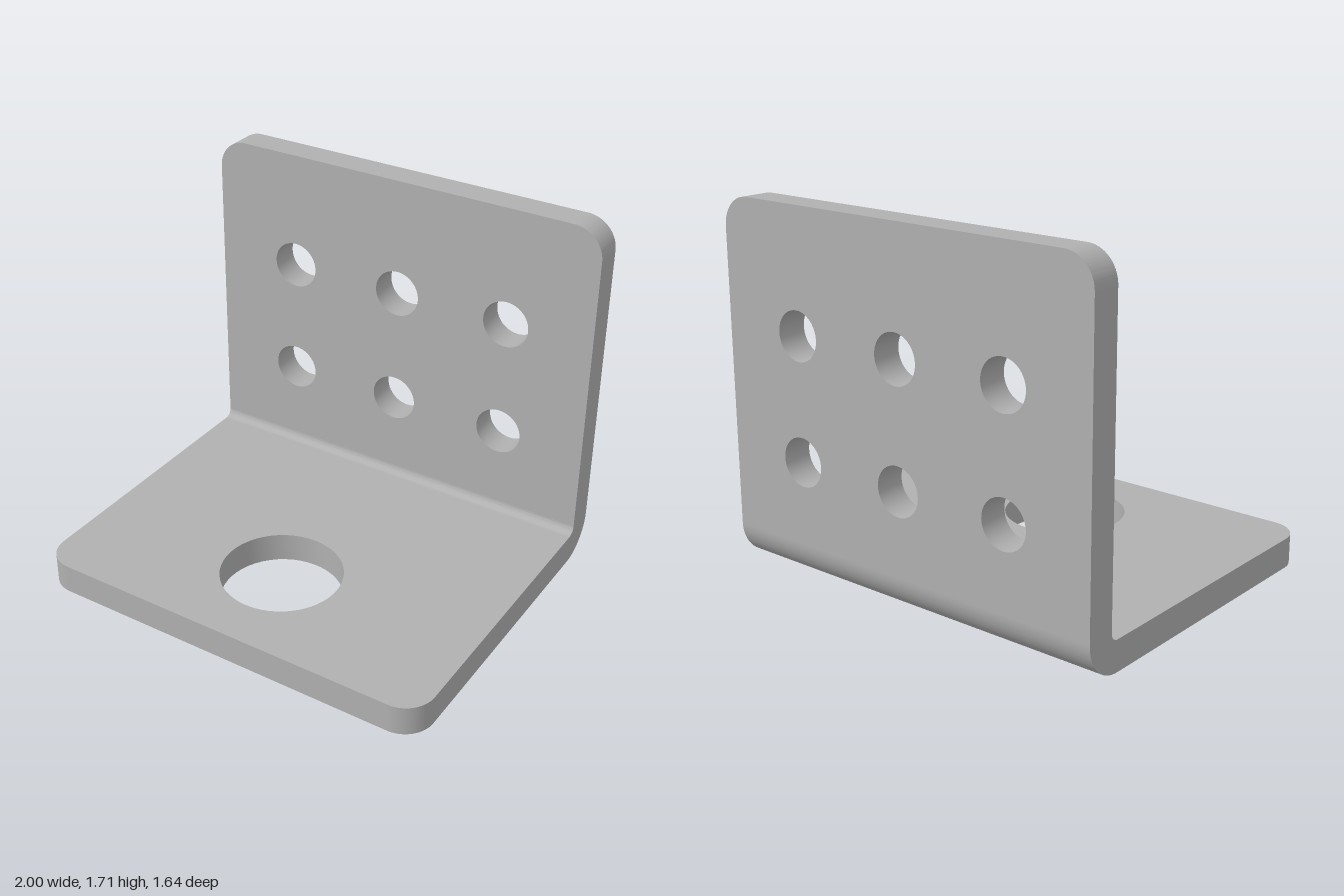
import * as THREE from 'three';
import { toCreasedNormals } from 'three/addons/utils/BufferGeometryUtils.js';

const WIDTH = 2, HEIGHT = 1.714, DEPTH = 1.643, THICK = 0.143;
const CORNER = 0.143, BEND_IN = 0.04, BEND_OUT = BEND_IN + THICK;
const BACK = -DEPTH / 2;

const smooth = (shape, depth, curveSegments) => toCreasedNormals(
  new THREE.ExtrudeGeometry(shape, { depth, curveSegments, bevelEnabled: false }), 0.6);

// Flat plate from the bend line (y = 0) to its free edge, with rounded outer corners and round holes
function plate(length, holes) {
  const w = WIDTH / 2, c = CORNER;
  const s = new THREE.Shape();
  s.moveTo(-w, 0);
  s.lineTo(w, 0);
  s.lineTo(w, length - c);
  s.absarc(w - c, length - c, c, 0, Math.PI / 2, false);
  s.absarc(-w + c, length - c, c, Math.PI / 2, Math.PI, false);
  s.closePath();
  for (const [x, y, r] of holes) {
    const hole = new THREE.Path();
    hole.absarc(x, y, r, 0, Math.PI * 2, true);
    s.holes.push(hole);
  }
  return smooth(s, THICK, 24);
}

export function createModel() {
  const group = new THREE.Group();
  group.name = 'angleBracket';
  const metal = new THREE.MeshStandardMaterial({ color: 0xb0b0b0 });
  metal.name = 'grey metal';
  const add = (name, geometry, x, y, z) => {
    const mesh = new THREE.Mesh(geometry, metal);
    mesh.name = name;
    mesh.position.set(x, y, z);
    group.add(mesh);
  };

  // Upright plate with two rows of three screw holes
  const screwHoles = [];
  for (const y of [0.573, 1.145])
    for (const x of [-0.571, 0, 0.571]) screwHoles.push([x, y - BEND_OUT, 0.114]);
  add('uprightPlate', plate(HEIGHT - BEND_OUT, screwHoles), 0, BEND_OUT, BACK);

  // Base plate with one large hole
  const base = plate(DEPTH - BEND_OUT, [[0, 0.32 - BACK - BEND_OUT, 0.286]]);
  base.rotateX(Math.PI / 2);
  add('basePlate', base, 0, THICK, BACK + BEND_OUT);

  // Quarter-round bend joining the plates
  const ring = new THREE.Shape();
  ring.absarc(0, 0, BEND_OUT, Math.PI, Math.PI * 1.5, false);
  ring.absarc(0, 0, BEND_IN, Math.PI * 1.5, Math.PI, true);
  ring.closePath();
  const bend = smooth(ring, WIDTH, 24);
  bend.rotateY(-Math.PI / 2);
  add('bend', bend, WIDTH / 2, BEND_OUT, BACK + BEND_OUT);

  return group;
}
